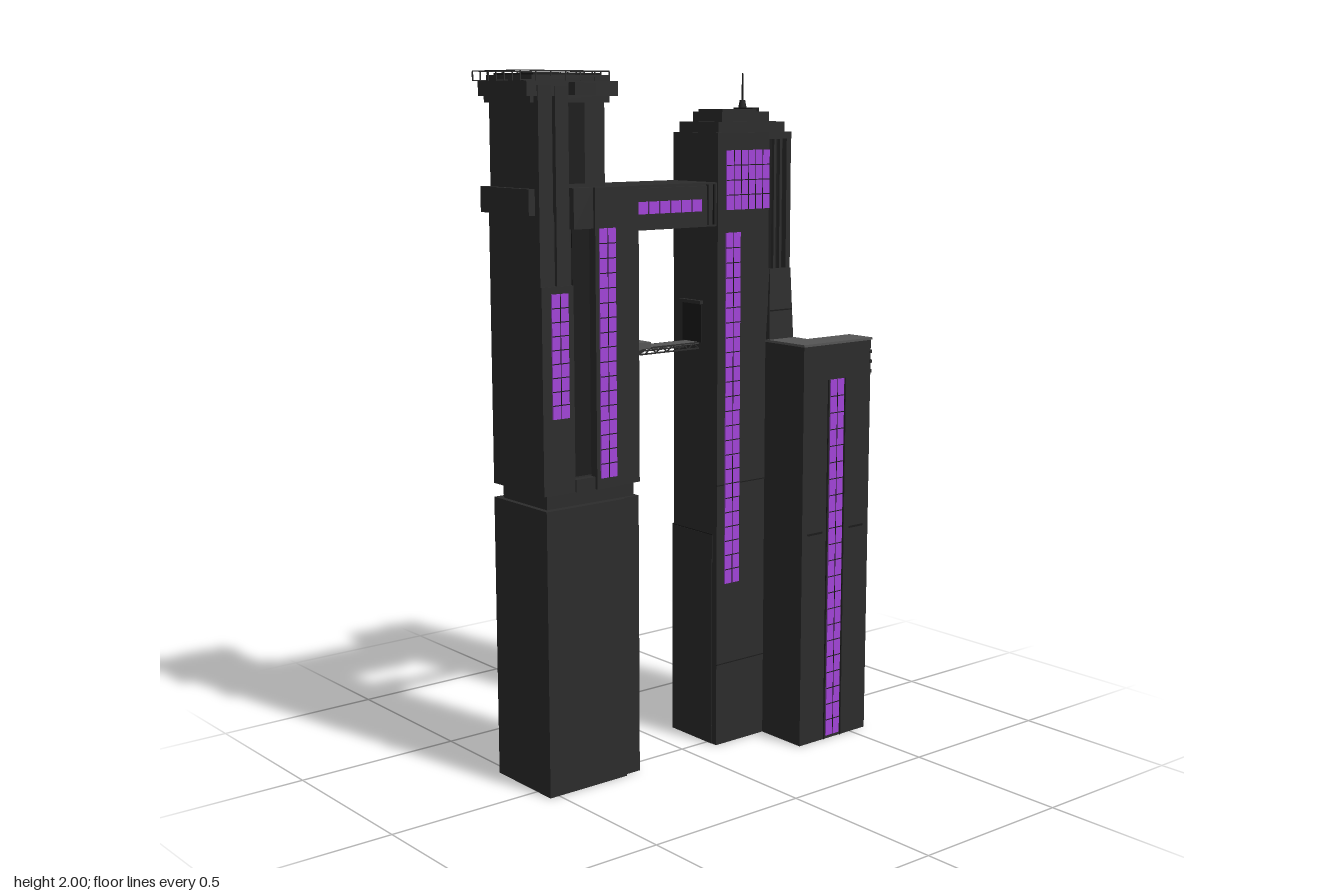
import * as THREE from 'three';

const mat = (name, color) => Object.assign(new THREE.MeshStandardMaterial({ color }), { name });

export function createModel() {
  const model = new THREE.Group();
  const wall = mat('charcoal wall', 0x2c2c2c);
  const dark = mat('dark recess', 0x1b1b1b);
  const glow = mat('purple glass', 0xa244d8);
  const grey = mat('grey deck', 0x555555);

  const group = (name) => {
    const g = new THREE.Group();
    g.name = name;
    model.add(g);
    return g;
  };
  const add = (parent, name, geo, m) => {
    const mesh = new THREE.Mesh(geo, m);
    mesh.name = name;
    parent.add(mesh);
    return mesh;
  };
  // Box given by its limits on each axis
  const box = (parent, name, m, x0, x1, y0, y1, z0, z1) => {
    const geo = new THREE.BoxGeometry(x1 - x0, y1 - y0, z1 - z0);
    geo.translate((x0 + x1) / 2, (y0 + y1) / 2, (z0 + z1) / 2);
    return add(parent, name, geo, m);
  };
  // Thin square bar between two points
  const bar = (parent, name, m, a, b, t = 0.004) => {
    const p = new THREE.Vector3(...a), q = new THREE.Vector3(...b);
    const mesh = add(parent, name, new THREE.BoxGeometry(t, t, p.distanceTo(q)), m);
    mesh.position.copy(p).lerp(q, 0.5);
    mesh.lookAt(q);
    return mesh;
  };
  // Polygon in x-z raised from y0 to y1
  const prism = (parent, name, m, pts, y0, y1) => {
    const shape = new THREE.Shape(pts.map(([x, z]) => new THREE.Vector2(x, -z)));
    const geo = new THREE.ExtrudeGeometry(shape, { depth: y1 - y0, bevelEnabled: false });
    geo.rotateX(-Math.PI / 2).translate(0, y0, 0);
    return add(parent, name, geo, m);
  };
  // Glass panel with dark glazing bars, facing +z, centred on its own origin
  const glazing = (parent, name, w, h, cols, rows, x, y, z, turn = 0) => {
    const g = new THREE.Group();
    g.name = name;
    box(g, 'glass', glow, -w / 2, w / 2, -h / 2, h / 2, -0.001, 0.003);
    for (let i = 1; i < cols; i++) {
      const cx = -w / 2 + (w * i) / cols;
      box(g, 'mullion', dark, cx - 0.001, cx + 0.001, -h / 2, h / 2, 0.002, 0.004);
    }
    for (let i = 1; i < rows; i++) {
      const cy = -h / 2 + (h * i) / rows;
      box(g, 'transom', dark, -w / 2, w / 2, cy - 0.0013, cy + 0.0013, 0.002, 0.004);
    }
    g.position.set(x, y, z);
    g.rotation.y = turn;
    parent.add(g);
  };

  // Left tower: base, waist and middle
  const lt = group('leftTower');
  box(lt, 'base', wall, -0.53, -0.26, 0, 0.82, -0.19, 0.065);
  box(lt, 'baseWing', wall, -0.26, -0.205, 0, 0.82, -0.17, 0.055);
  box(lt, 'waist', wall, -0.515, -0.215, 0.82, 0.86, -0.165, 0.045);
  box(lt, 'middle', wall, -0.53, -0.26, 0.86, 1.62, -0.19, 0.04);
  box(lt, 'middleWing', wall, -0.26, -0.203, 0.86, 1.69, -0.17, 0.058);
  box(lt, 'frontLeftSlab', wall, -0.53, -0.425, 0.86, 1.43, 0.04, 0.055);
  box(lt, 'frontSill', wall, -0.425, -0.36, 0.86, 0.895, 0.04, 0.06);
  box(lt, 'frontSlot', dark, -0.42, -0.362, 0.9, 1.58, 0.038, 0.043);
  box(lt, 'frontLintel', wall, -0.425, -0.36, 1.58, 1.69, 0.02, 0.06);
  prism(lt, 'frontPier', wall, [[-0.36, 0.03], [-0.36, 0.068], [-0.26, 0.063], [-0.26, 0.03]], 0.86, 1.69);
  box(lt, 'shoulder', wall, -0.43, -0.26, 1.6, 1.69, -0.18, 0.04);
  box(lt, 'band', wall, -0.55, -0.265, 1.62, 1.69, -0.2, 0.03);
  for (const s of [1, -1]) {
    const turn = s > 0 ? 0 : Math.PI;
    glazing(lt, 'tallWindow', 0.055, 0.69, 2, 17, -0.32, 1.235, s > 0 ? 0.068 : -0.191, turn);
    glazing(lt, 'shortWindow', 0.055, 0.34, 2, 9, -0.472, 1.24, s > 0 ? 0.056 : -0.191, turn);
  }
  // Upper shaft with pilasters and stepped cap
  box(lt, 'upperShaft', wall, -0.53, -0.29, 1.6, 1.94, -0.18, 0.02);
  box(lt, 'outerPilaster', wall, -0.53, -0.485, 1.43, 1.96, 0.02, 0.05);
  box(lt, 'innerPilaster', wall, -0.475, -0.432, 1.43, 1.96, 0.02, 0.05);
  box(lt, 'pilasterGap', dark, -0.486, -0.474, 1.43, 1.94, 0.02, 0.036);
  box(lt, 'upperSlot', dark, -0.43, -0.36, 1.7, 1.93, 0.018, 0.024);
  prism(lt, 'cap', wall, [[-0.562, 0.045], [-0.27, 0.055], [-0.265, -0.2], [-0.34, -0.21], [-0.47, -0.21], [-0.552, -0.2]], 1.932, 1.972);
  box(lt, 'capBlock', wall, -0.43, -0.36, 1.935, 1.968, 0.045, 0.078);
  box(lt, 'capUnderside', wall, -0.54, -0.28, 1.915, 1.935, -0.19, 0.03);
  box(lt, 'roof', wall, -0.535, -0.28, 1.972, 1.988, -0.185, 0.03);
  box(lt, 'roofPlate', dark, -0.52, -0.295, 1.988, 1.993, -0.17, 0.015);

  // Roof railing
  const rail = group('roofRailing');
  const corners = [[-0.57, 0.03], [-0.28, 0.03], [-0.28, -0.197], [-0.57, -0.197]];
  corners.forEach(([x, z], i) => {
    const [u, v] = corners[(i + 1) % 4];
    bar(rail, 'topRail', wall, [x, 1.9985, z], [u, 1.9985, v], 0.003);
    for (let k = 0; k < 6; k++) {
      const px = x + ((u - x) * k) / 6, pz = z + ((v - z) * k) / 6;
      bar(rail, 'post', wall, [px, 1.972, pz], [px, 1.998, pz], 0.003);
    }
  });
  for (const z of [-0.195, -0.08, 0.028]) bar(rail, 'bracket', wall, [-0.57, 1.974, z], [-0.53, 1.974, z], 0.003);

  // Upper enclosed bridge
  const ub = group('upperBridge');
  box(ub, 'bridgeBody', wall, -0.21, 0.11, 1.565, 1.69, -0.16, 0.035);
  prism(ub, 'bridgeFront', wall, [[-0.21, 0.03], [-0.21, 0.05], [0.05, 0.05], [0.062, 0.035], [0.062, 0.03]], 1.57, 1.682);
  for (let i = 0; i < 6; i++) glazing(ub, 'bridgeWindow', 0.034, 0.034, 1, 1, -0.183 + i * 0.039, 1.628, 0.051);
  for (const x of [0.06, 0.085]) box(ub, 'bridgeRib', dark, x, x + 0.006, 1.57, 1.685, 0.03, 0.04);

  // Lower truss footbridge
  const fb = group('footbridge');
  box(fb, 'deck', grey, -0.21, 0.11, 1.216, 1.222, -0.1, -0.045);
  box(fb, 'platform', grey, -0.21, -0.095, 1.222, 1.24, -0.12, -0.025);
  for (const z of [-0.1, -0.045]) {
    bar(fb, 'lowerChord', wall, [-0.12, 1.203, z], [0.1, 1.203, z]);
    bar(fb, 'upperChord', wall, [-0.12, 1.22, z], [0.1, 1.22, z]);
    bar(fb, 'strut', wall, [-0.205, 1.17, z], [-0.1, 1.218, z], 0.007);
    for (let i = 0; i < 10; i++) {
      const x = -0.1 + i * 0.02, up = i % 2;
      bar(fb, 'web', wall, [x, up ? 1.22 : 1.203, z], [x + 0.02, up ? 1.203 : 1.22, z], 0.003);
    }
  }
  box(fb, 'doorway', dark, 0.096, 0.102, 1.222, 1.335, -0.115, -0.03);
  box(fb, 'doorHood', wall, 0.088, 0.102, 1.335, 1.345, -0.12, -0.025);

  // Right tower with stepped roof
  const rt = group('rightTower');
  box(rt, 'shaft', wall, 0.1, 0.38, 0.65, 1.83, -0.16, 0.02);
  box(rt, 'base', wall, 0.098, 0.385, 0, 0.65, -0.165, 0.02);
  box(rt, 'frontSlab', wall, 0.1, 0.297, 0, 1.83, 0.02, 0.04);
  box(rt, 'sideSlab', wall, 0.297, 0.385, 0, 1.43, 0.02, 0.038);
  box(rt, 'frontSlot', dark, 0.303, 0.365, 1.43, 1.81, 0.018, 0.024);
  for (const x of [0.322, 0.345]) box(rt, 'slotRib', wall, x, x + 0.009, 1.43, 1.81, 0.02, 0.034);
  box(rt, 'cornerPost', wall, 0.368, 0.385, 1.43, 1.83, 0.005, 0.038);
  box(rt, 'slotHead', wall, 0.297, 0.385, 1.81, 1.83, 0.015, 0.04);
  for (const y of [0.25, 0.8]) box(rt, 'frontSeam', dark, 0.1, 0.29, y, y + 0.003, 0.039, 0.041);
  box(rt, 'sideStripLeft', wall, 0.378, 0.387, 0.65, 1.83, -0.155, -0.112);
  box(rt, 'sideStripRight', wall, 0.378, 0.387, 0.65, 1.83, -0.038, 0.01);
  box(rt, 'sideBasePanel', wall, 0.384, 0.389, 0, 0.65, -0.15, -0.02);
  box(rt, 'baseSeam', dark, 0.0985, 0.3865, 0.648, 0.653, -0.1655, 0.02);
  glazing(rt, 'frontGrid', 0.165, 0.17, 6, 4, 0.213, 1.695, 0.041);
  glazing(rt, 'frontStrip', 0.055, 1.045, 2, 24, 0.157, 1.022, 0.041);
  glazing(rt, 'sideStrip', 0.05, 1.09, 2, 22, 0.382, 1.265, -0.075, Math.PI / 2);
  box(rt, 'roofStep', wall, 0.112, 0.368, 1.83, 1.86, -0.148, 0.028);
  box(rt, 'roofHouse', wall, 0.147, 0.33, 1.86, 1.888, -0.128, 0.002);
  box(rt, 'roofHouseTop', wall, 0.16, 0.29, 1.888, 1.896, -0.118, -0.01);
  box(rt, 'mastBase', dark, 0.302, 0.328, 1.86, 1.9, -0.125, -0.04);
  const mast = add(rt, 'mast', new THREE.CylinderGeometry(0.002, 0.003, 0.1, 6), dark);
  mast.position.set(0.315, 1.95, -0.1);
  const socket = add(rt, 'mastSocket', new THREE.CylinderGeometry(0.008, 0.014, 0.03, 8), dark);
  socket.position.set(0.315, 1.907, -0.1);
  for (const z of [-0.115, -0.03]) box(rt, 'sideFitting', dark, 0.385, 0.392, 1.6, 1.606, z - 0.005, z + 0.005);

  // L-shaped annex with grey roof
  const an = group('annex');
  prism(an, 'annexBody', wall, [[0.288, 0.03], [0.288, 0.208], [0.562, 0.208], [0.562, 0.115], [0.388, 0.115], [0.388, 0.03]], 0, 1.215);
  prism(an, 'annexRoof', grey, [[0.286, 0.038], [0.286, 0.21], [0.566, 0.21], [0.566, 0.113], [0.39, 0.113], [0.39, 0.038]], 1.215, 1.222);
  glazing(an, 'annexStrip', 0.055, 1.1, 2, 22, 0.4225, 0.56, 0.208);
  for (const x of [0.388, 0.456]) box(an, 'stripTrim', dark, x - 0.002, x + 0.002, 0, 1.11, 0.205, 0.2105);
  for (const x of [0.31, 0.48]) box(an, 'annexSeam', dark, x, x + 0.06, 0.648, 0.654, 0.206, 0.2095);
  box(an, 'sidePanel', dark, 0.56, 0.571, 0.91, 1.1, 0.142, 0.18);
  for (let i = 0; i < 3; i++) box(an, 'sideRib', wall, 0.558, 0.567, 1.115 + i * 0.03, 1.125 + i * 0.03, 0.114, 0.209);
  // Tapered buttress against the tower
  const taper = new THREE.BoxGeometry(0.097, 0.215, 0.02);
  const p = taper.attributes.position;
  for (let i = 0; i < p.count; i++) {
    if (p.getY(i) < 0) continue;
    if (p.getX(i) < 0) p.setX(i, p.getX(i) + 0.015);
    if (p.getZ(i) > 0) p.setZ(i, -0.006);
  }
  taper.translate(0.3375, 1.3225, 0.046);
  taper.computeVertexNormals();
  add(an, 'buttress', taper, wall);
  box(an, 'buttressSeam', dark, 0.297, 0.385, 1.305, 1.309, 0.04, 0.05);

  return model;
}
